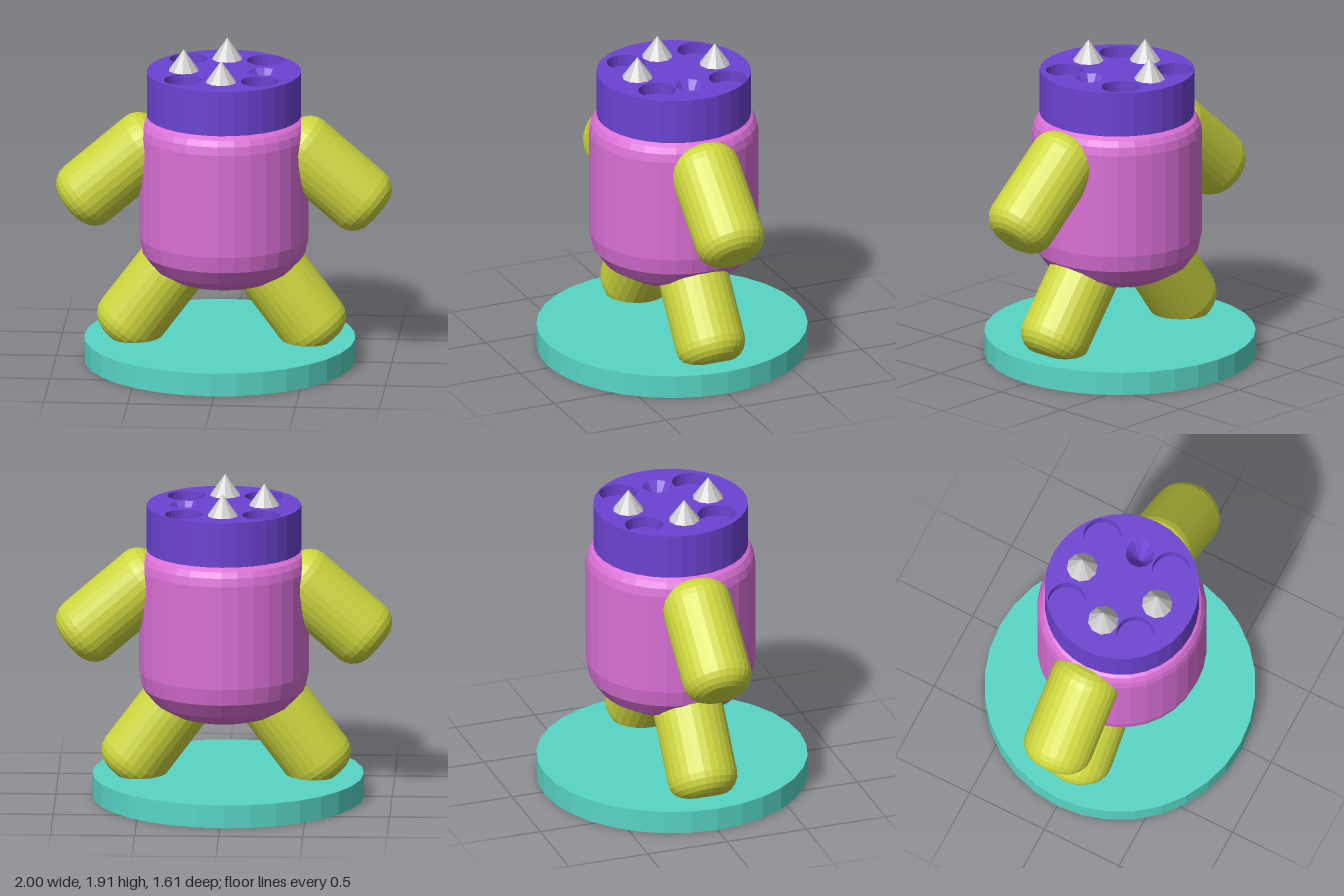
import * as THREE from 'three';

const mat = (color) => new THREE.MeshStandardMaterial({ color, flatShading: true });

// Solid of revolution from [radius, height] pairs, traced bottom to top on the outside
function turned(name, profile, sides, material, x = 0, y = 0, z = 0) {
  const points = profile.map(([r, h]) => new THREE.Vector2(r, h));
  const mesh = new THREE.Mesh(new THREE.LatheGeometry(points, sides), material);
  mesh.name = name;
  mesh.position.set(x, y, z);
  return mesh;
}

// Quarter-round from angle a0 to a1 around (r, h)
function arc(r, h, radius, a0, a1, steps = 5) {
  return Array.from({ length: steps + 1 }, (_, i) => {
    const a = a0 + (a1 - a0) * i / steps;
    return [r + radius * Math.cos(a), h + radius * Math.sin(a)];
  });
}

// Regular polygon points with a corner on the z axis, like the turned parts
const ring = (r, sides, x = 0, z = 0) => Array.from({ length: sides }, (_, i) => {
  const a = i / sides * Math.PI * 2;
  return new THREE.Vector2(x + r * Math.sin(a), -(z + r * Math.cos(a)));
});

// Rounded cylinder with small flat ends, running between two fillet centres
function limb(name, from, to, material) {
  const a = new THREE.Vector3(...from), b = new THREE.Vector3(...to);
  const length = a.distanceTo(b), q = Math.PI / 2, flat = 0.085, fillet = 0.125;
  const profile = [[0, -fillet], ...arc(flat, 0, fillet, -q, 0),
    ...arc(flat, length, fillet, 0, q), [0, length + fillet]];
  const mesh = turned(name, profile, 28, material, ...from);
  mesh.quaternion.setFromUnitVectors(new THREE.Vector3(0, 1, 0), b.sub(a).normalize());
  return mesh;
}

export function createModel() {
  const model = new THREE.Group();
  model.name = 'figure';
  const teal = mat(0x58d6c6), pink = mat(0xda70d6), lime = mat(0xced83f);
  const purple = mat(0x6c43d2), grey = mat(0xcccccc);

  // Round stand
  model.add(turned('base', [[0, 0], [0.807, 0], [0.807, 0.14], [0, 0.14]], 32, teal, -0.025));

  // Barrel body, rounder at the bottom than at the top
  model.add(turned('body', [[0, 0.485], [0.21, 0.485], [0.31, 0.515], [0.42, 0.58], [0.485, 0.67],
    [0.505, 0.77], [0.505, 1.4], [0.495, 1.45], [0.475, 1.485], [0.44, 1.508], [0, 1.51]], 32, pink));

  // Arms and legs
  for (const [side, s] of [['left', 1], ['right', -1]]) {
    model.add(limb(side + 'Arm', [0.46 * s, 1.32, 0], [0.82 * s, 1.007, 0], lime));
    model.add(limb(side + 'Leg', [0.22 * s - 0.014, 0.67, 0], [0.55 * s - 0.014, 0.226, 0], lime));
  }

  // Head: drum with an open top, closed by a pierced plate
  const head = new THREE.Group();
  head.name = 'head';
  const top = 1.782, radius = 0.46;
  head.add(turned('headDrum', [[0, 1.51], [radius, 1.51], [radius, top]], 32, purple));

  const plate = new THREE.Shape(ring(radius, 32));
  const holeR = 0.113, holeDepth = 0.07;
  for (const x of [-0.23, 0.23]) for (const z of [-0.25, 0.21]) {
    plate.holes.push(new THREE.Path(ring(holeR, 24, x, z)));
    head.add(turned('socket', [[holeR, 0], [holeR, -holeDepth], [0, -holeDepth]], 24, purple, x, top, z));
  }

  // Conical pit opposite the side spike
  plate.holes.push(new THREE.Path(ring(0.088, 10, 0.235, 0)));
  head.add(turned('conePit', [[0.088, 0], [0, -0.13]], 10, purple, 0.235, top, 0));

  const plateMesh = new THREE.Mesh(new THREE.ShapeGeometry(plate).rotateX(-Math.PI / 2), purple);
  plateMesh.name = 'headPlate';
  plateMesh.position.y = top;
  head.add(plateMesh);

  // Spikes
  for (const [x, z] of [[-0.24, 0], [0, -0.267], [0, 0.236]]) {
    head.add(turned('spike', [[0.092, 0], [0, 0.13]], 10, grey, x, top, z));
  }
  model.add(head);
  return model;
}
